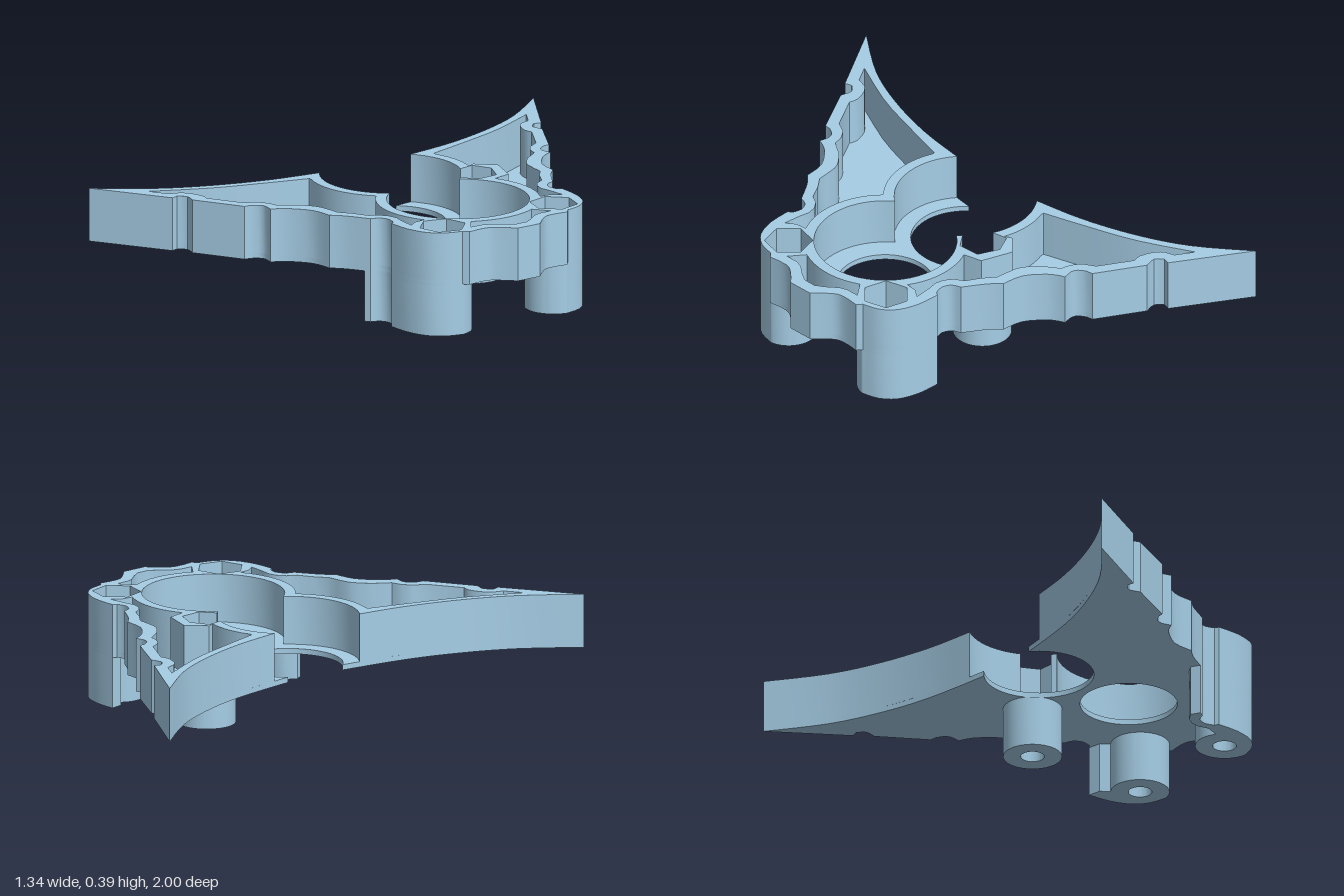
import * as THREE from 'three';
import { toCreasedNormals } from 'three/addons/utils/BufferGeometryUtils.js';

// Plan coordinates are [x, z]; heights are in y.
const TOP = 0.39, FLOOR = 0.21, BASE = 0.19;
const C1 = [-0.18, 0], C2 = [0.233, 0];           // open ring and closed ring centres
const POSTS = [[-0.015, -0.25], [0.48, -0.25], [0.48, 0.25]];
const POST_R = 0.107, BORE_R = 0.043;

const mirror = (pts) => pts.map(([x, z]) => [x, -z]);

function arc([cx, cz], r, from, to) {
  const n = Math.max(2, Math.ceil(Math.abs(to - from) / 6));
  return Array.from({ length: n + 1 }, (_, i) => {
    const a = THREE.MathUtils.degToRad(from + (to - from) * i / n);
    return [cx + r * Math.cos(a), cz + r * Math.sin(a)];
  });
}

function spline(pts, n = 16) {
  const curve = new THREE.SplineCurve(pts.map((p) => new THREE.Vector2(...p)));
  return curve.getPoints(n).map((p) => [p.x, p.y]);
}

const hexagon = ([cx, cz], r, turn) => Array.from({ length: 6 }, (_, i) => {
  const a = THREE.MathUtils.degToRad(turn + 60 * i);
  return [cx + r * Math.cos(a), cz + r * Math.sin(a)];
});

const circle = (c, r) => arc(c, r, 0, 360).slice(0, -1);

export function createModel() {
  const group = new THREE.Group();
  const material = new THREE.MeshStandardMaterial({ color: 0xa6cee6 });
  const vecs = (pts) => pts.map((p) => new THREE.Vector2(...p));

  // Vertical slab between two heights, cut by holes; outline and holes wind opposite ways
  function slab(name, outline, holes, bottom, top) {
    const wind = (pts, clockwise) => {
      const v = vecs(pts);
      return THREE.ShapeUtils.isClockWise(v) === clockwise ? v : v.reverse();
    };
    const shape = new THREE.Shape(wind(outline, false));
    holes.forEach((h) => shape.holes.push(new THREE.Path(wind(h, true))));
    const geo = new THREE.ExtrudeGeometry(shape, { depth: top - bottom, bevelEnabled: false });
    geo.rotateX(Math.PI / 2);
    geo.translate(0, top, 0);
    const mesh = new THREE.Mesh(toCreasedNormals(geo, 0.6), material);
    mesh.name = name;
    group.add(mesh);
  }

  // Scalloped outer edge of the front half, from wing tip to nose
  const edge = [
    [-0.67, 1], [-0.39, 0.83],
    ...spline([[-0.398, 0.803], [-0.37, 0.777], [-0.325, 0.787]], 6),
    [-0.145, 0.685],
    ...spline([[-0.142, 0.66], [-0.125, 0.633], [-0.1, 0.622], [-0.06, 0.63]], 6),
    ...spline([[-0.052, 0.61], [-0.025, 0.57], [0.045, 0.516], [0.13, 0.503]], 9),
    ...spline([[0.145, 0.487], [0.18, 0.457], [0.255, 0.41]], 6),
    ...spline([[0.26, 0.393], [0.272, 0.373], [0.305, 0.36], [0.34, 0.37]], 6),
    ...spline([[0.35, 0.385], [0.44, 0.38], [0.52, 0.352], [0.567, 0.3], [0.585, 0.237]], 12),
    [0.605, 0.22],
    ...spline([[0.6, 0.18], [0.602, 0.13], [0.63, 0.09], [0.67, 0.05]], 8),
  ];
  const outer = [...edge, ...mirror(edge).reverse()];

  // Swept inner edge of a wing, ending at the open ring
  const sweep = (end) => spline([[-0.67, 1], [-0.525, 0.805], [-0.435, 0.615], [-0.372, 0.405], end]).slice(1, -1);
  const closeWith = (end, mouth) => {
    const s = sweep(end);
    return [...outer, ...mirror(s), ...mouth, ...s.slice().reverse()];
  };

  // Thin floor with the ring lips and bolt bores
  slab('floorPlate', closeWith([-0.33, 0.132], arc(C1, 0.2, -138.7, 138.7)),
    [circle(C2, 0.177), ...POSTS.map((p) => circle(p, BORE_R))], BASE, FLOOR);

  // Joined ring cavity, with the inner nut recess breaking into it
  const cavity = [
    ...arc(C1, 0.26, -128, -67.2),
    [-0.09, -0.3], [-0.02, -0.335], [0.06, -0.3], [0.065, -0.215],
    ...arc(C1, 0.26, -42.5, -37.4),
    ...arc(C2, 0.26, -142.6, 142.6).slice(1),
    ...arc(C1, 0.26, 37.4, 128).slice(1),
  ];

  // Wing pockets, bounded by the outer shell and the ring wall
  const finInside = [[0.215, 0.39], [0.235, 0.355], [0.265, 0.333], [0.3, 0.325], [0.34, 0.333]];
  const shell = [
    ...spline([[-0.3, 0.28], [-0.34, 0.42], [-0.41, 0.64], [-0.51, 0.85]], 10),
    [-0.443, 0.81],
    ...spline([[-0.43, 0.77], [-0.405, 0.745], [-0.35, 0.725], [-0.315, 0.732]], 6),
    [-0.19, 0.66],
    ...spline([[-0.165, 0.615], [-0.13, 0.59], [-0.09, 0.58]], 4),
    ...spline([[-0.05, 0.52], [-0.01, 0.485], [0.03, 0.465], [0.115, 0.455]], 6),
    [0.16, 0.42], ...finInside, [0.41, 0.34], [0.385, 0.305],
  ];
  const frontPocket = [...shell, ...arc(C2, 0.3, 60.5, 133.5), ...arc(C1, 0.3, 46.5, 111).slice(1)];
  const backPocket = mirror([
    ...shell, ...arc(C2, 0.3, 60.5, 117),
    [0.093, 0.285], [0.08, 0.34], [-0.04, 0.38], [-0.105, 0.315],
    ...arc(C1, 0.3, 73, 111),
  ]);

  // Nose pocket between the two outer posts
  const noseEdge = [[0.545, 0.195], [0.558, 0.18], [0.558, 0.13], [0.568, 0.1], [0.6, 0.06], [0.622, 0.025]];
  const nosePocket = [...arc(C2, 0.3, -27, 27), ...noseEdge.slice(1), ...mirror(noseEdge.slice(1)).reverse()];

  // Raised walls with the pockets and nut recesses
  slab('walls', closeWith([-0.34, 0.205], cavity), [
    frontPocket, backPocket, nosePocket,
    hexagon(POSTS[1], 0.088, 15), hexagon(POSTS[2], 0.088, -15),
  ], FLOOR, TOP);

  // Round post under the inner nut recess
  slab('innerPost', circle(POSTS[0], POST_R), [circle(POSTS[0], BORE_R)], 0, BASE);

  // Outer posts, each with a fin that follows the shell from startX
  const lug = (startX, inside) => [
    ...edge.filter(([x]) => x >= startX && x < 0.59),
    ...arc(POSTS[2], POST_R, -8, -215),
    ...inside,
  ];
  slab('frontPost', lug(0.215, finInside.slice().reverse()), [circle(POSTS[2], BORE_R)], 0, BASE);
  slab('backPost', mirror(lug(0.345, [[0.36, 0.335]])), [circle(POSTS[1], BORE_R)], 0, BASE);

  return group;
}
